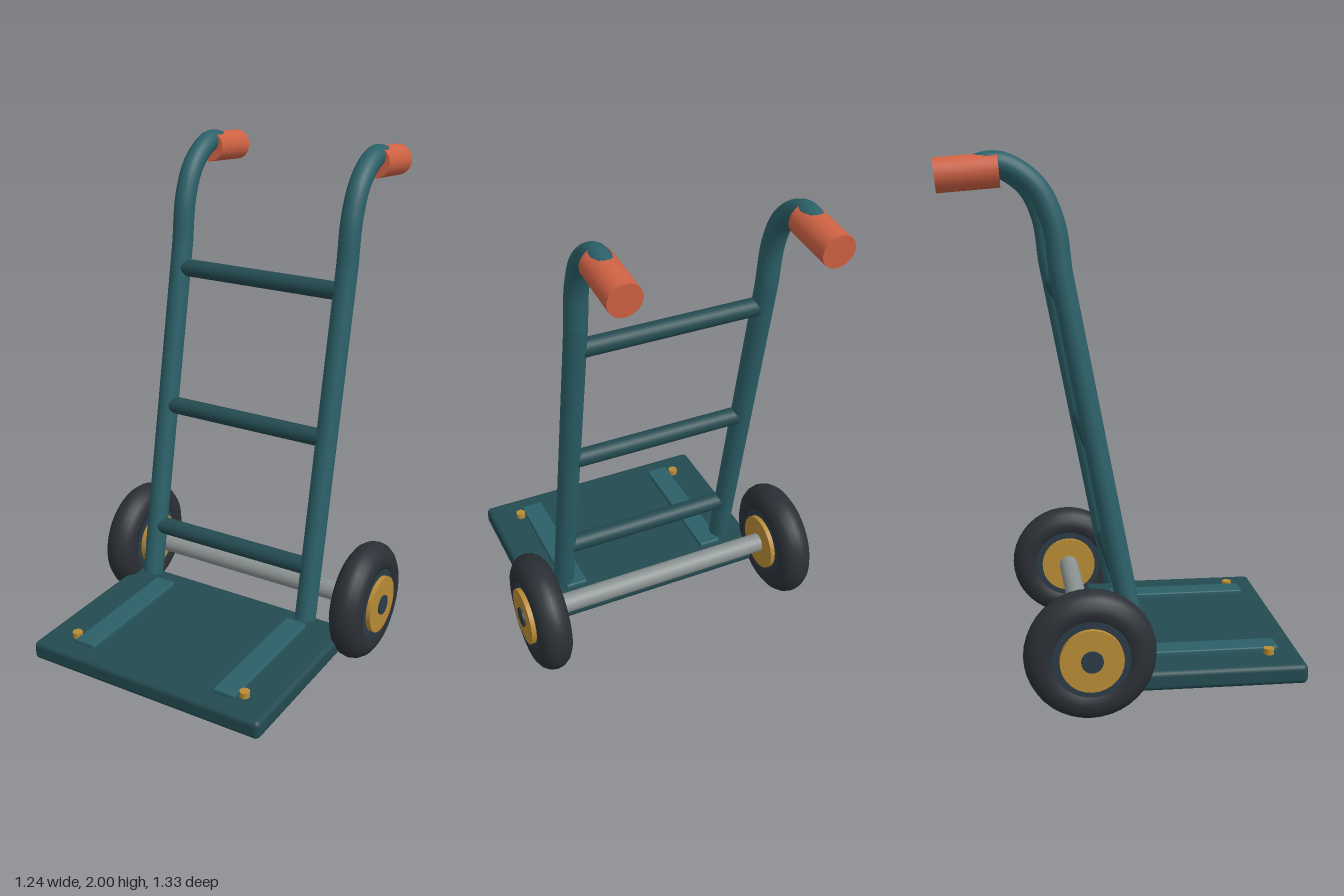
import * as THREE from 'three';
import { RoundedBoxGeometry } from 'three/addons/geometries/RoundedBoxGeometry.js';

const mat = (color) => new THREE.MeshStandardMaterial({ color });
const V = (x, y, z) => new THREE.Vector3(x, y, z);

export function createModel() {
  const model = new THREE.Group();
  model.name = 'handTruck';
  const teal = mat(0x2b6068), darkTeal = mat(0x234a50), rubber = mat(0x2b3036);
  const rimBlue = mat(0x2b3b46), brass = mat(0xb88b36), steel = mat(0x8b9292), orange = mat(0xcf6244);

  const add = (name, geometry, material, x = 0, y = 0, z = 0) => {
    const mesh = new THREE.Mesh(geometry, material);
    mesh.name = name;
    mesh.position.set(x, y, z);
    model.add(mesh);
    return mesh;
  };

  // Round bar between two points
  const bar = (name, a, b, radius, material, sides = 24) => {
    const dir = b.clone().sub(a);
    const mesh = add(name, new THREE.CylinderGeometry(radius, radius, dir.length(), sides), material);
    mesh.position.copy(a).lerp(b, 0.5);
    mesh.quaternion.setFromUnitVectors(V(0, 1, 0), dir.normalize());
    return mesh;
  };

  // Toe plate
  add('toePlate', new RoundedBoxGeometry(1.02, 0.075, 0.74, 3, 0.02), darkTeal, 0, 0.107, 0.295);

  // Rungs, following the slope of the rails
  const railZ = (y) => 0.037 - 0.194 * (y - 0.2);
  for (const y of [0.41, 0.925, 1.485]) {
    bar('rung', V(-0.345, y, railZ(y)), V(0.345, y, railZ(y)), 0.035, darkTeal);
  }

  // Axle
  const axleY = 0.242, axleZ = -0.15;
  bar('axle', V(-0.6, axleY, axleZ), V(0.6, axleY, axleZ), 0.04, steel);

  for (const [side, s] of [['left', 1], ['right', -1]]) {
    const x = s * 0.367;

    // Rail and curved handle
    bar(side + 'Rail', V(x, 0.2, railZ(0.2)), V(x, 1.6, railZ(1.6)), 0.042, teal);
    const bend = new THREE.CatmullRomCurve3([
      V(x, 1.58, railZ(1.58)), V(x, 1.76, -0.258), V(x, 1.882, -0.32),
      V(x, 1.956, -0.44), V(x, 1.935, -0.56),
    ]);
    add(side + 'HandleBend', new THREE.TubeGeometry(bend, 32, 0.042, 20), teal);
    bar(side + 'Grip', V(x, 1.934, -0.441), V(x, 1.915, -0.658), 0.06, orange);

    // Wheel: tyre, rim, hub and axle cap
    const wheelX = s * 0.538;
    add(side + 'Tyre', new THREE.TorusGeometry(0.173, 0.067, 16, 40), rubber, wheelX, axleY, axleZ)
      .rotation.y = Math.PI / 2;
    const disc = (name, radius, half, material) => bar(side + name,
      V(wheelX - half, axleY, axleZ), V(wheelX + half, axleY, axleZ), radius, material, 32);
    disc('Rim', 0.145, 0.058, rimBlue);
    disc('Hub', 0.115, 0.077, brass);
    bar(side + 'AxleCap', V(s * 0.58, axleY, axleZ), V(s * 0.622, axleY, axleZ), 0.04, rimBlue);

    // Reinforcing strip and bolt on the plate
    add(side + 'PlateStrip', new RoundedBoxGeometry(0.092, 0.03, 0.57, 2, 0.006), teal, s * 0.317, 0.147, 0.3);
    add(side + 'PlateBolt', new THREE.CylinderGeometry(0.02, 0.02, 0.03, 16), brass, s * 0.384, 0.152, 0.543);
  }
  return model;
}
